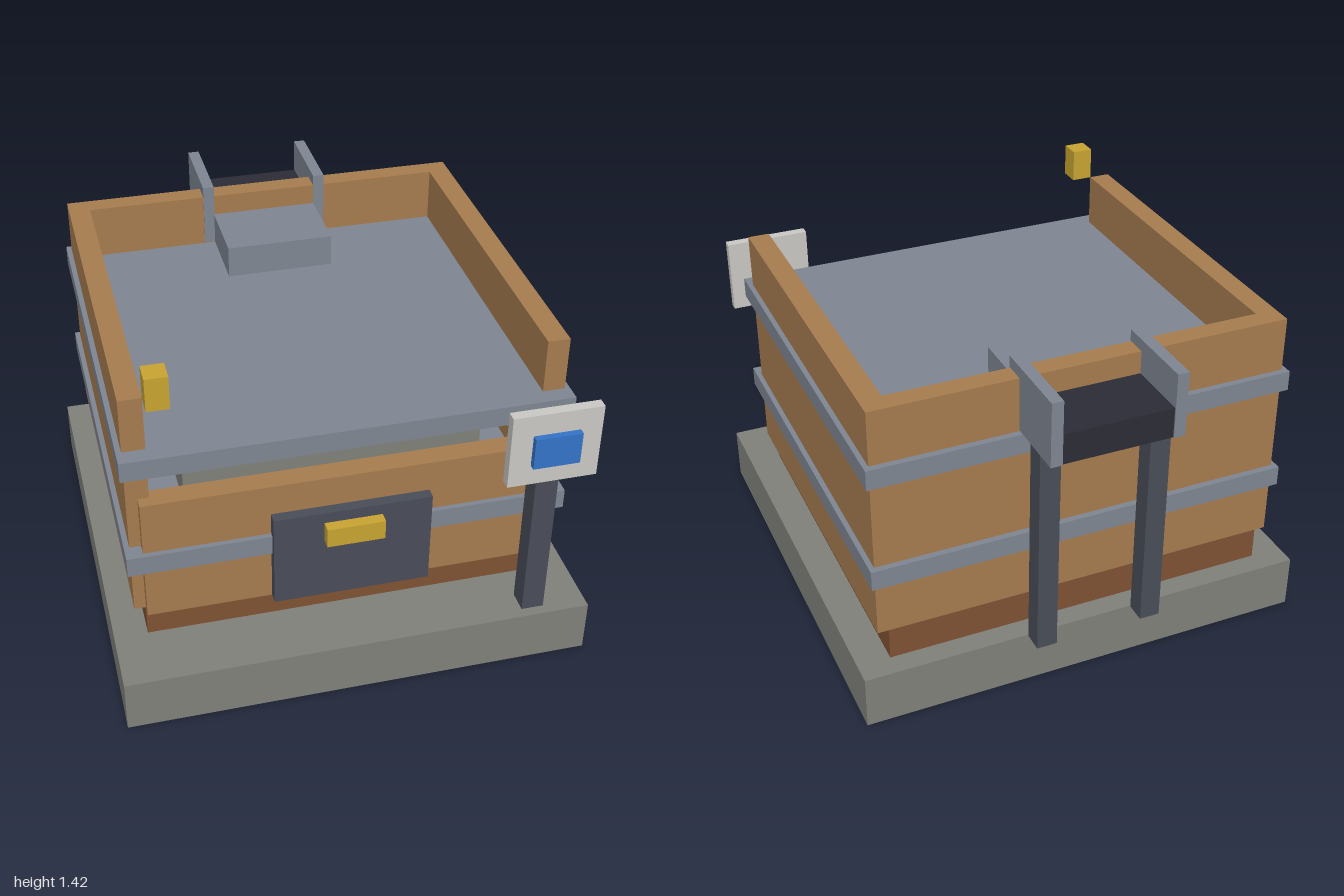
import * as THREE from 'three';

const mat = (name, color) => {
  const m = new THREE.MeshStandardMaterial({ color });
  m.name = name;
  return m;
};

export function createModel() {
  const concrete = mat('concrete grey', 0x80807a);
  const wood = mat('wood', 0xa67c4f);
  const darkWood = mat('dark wood', 0x7f5233);
  const steel = mat('steel', 0x7e8692);
  const iron = mat('dark iron', 0x494d58);
  const black = mat('black', 0x2c2c36);
  const gold = mat('gold', 0xc8a432);
  const white = mat('off white', 0xc9c8c4);
  const blue = mat('blue', 0x3473c8);

  const group = new THREE.Group();
  group.name = 'woodenVat';

  // Box given by its extents along each axis
  const box = (name, material, [x0, x1], [y0, y1], [z0, z1]) => {
    const mesh = new THREE.Mesh(new THREE.BoxGeometry(x1 - x0, y1 - y0, z1 - z0), material);
    mesh.position.set((x0 + x1) / 2, (y0 + y1) / 2, (z0 + z1) / 2);
    mesh.name = name;
    group.add(mesh);
  };

  // Plinth and recessed foot
  box('plinth', concrete, [-0.9, 0.9], [0, 0.215], [-0.825, 0.975]);
  box('foot', darkWood, [-0.772, 0.772], [0.215, 0.345], [-0.74, 0.72]);

  // Walls: full height at back and sides, low at the front
  box('backWall', wood, [-0.815, 0.815], [0.345, 1.29], [-0.74, -0.66]);
  box('frontWall', wood, [-0.772, 0.772], [0.345, 0.86], [0.68, 0.765]);

  // Steel plates that run through the body as bands
  for (const y of [0.565, 0.995])
    box('bandPlate', steel, [-0.835, 0.835], [y, y + 0.08], [-0.765, 0.785]);

  // Stepped filling inside
  box('lowerFilling', concrete, [-0.58, 0.58], [0.345, 0.85], [-0.52, 0.52]);
  box('upperFilling', concrete, [-0.43, 0.43], [0.85, 1.07], [-0.4, 0.37]);

  // Inlet box and its tray behind the back wall
  box('inletBox', steel, [-0.215, 0.215], [1.075, 1.205], [-0.735, -0.36]);
  box('tray', black, [-0.215, 0.215], [1.08, 1.2], [-0.995, -0.74]);

  // Mirrored parts
  for (const s of [-1, 1]) {
    const side = (a, b) => (s > 0 ? [a, b] : [-b, -a]);
    box('sideWall', wood, side(0.73, 0.815), [0.345, 1.29], [-0.66, 0.72]);
    box('trayCheek', steel, side(0.213, 0.258), [1.08, 1.335], [-1, -0.655]);
    box('trayLeg', iron, side(0.175, 0.255), [0.215, 1.08], [-0.91, -0.83]);
  }

  // Front hatch with handle
  box('hatch', iron, [-0.3, 0.3], [0.345, 0.735], [0.765, 0.807]);
  box('handle', gold, [-0.11, 0.11], [0.61, 0.69], [0.807, 0.85]);

  // Lamp at the front corner
  box('lamp', gold, [-0.73, -0.647], [1.29, 1.42], [0.72, 0.805]);

  // Control panel on its post
  box('panelPost', iron, [0.643, 0.73], [0.215, 1.08], [0.85, 0.935]);
  box('controlPanel', white, [0.515, 0.855], [0.865, 1.165], [0.935, 0.975]);
  box('screen', blue, [0.597, 0.773], [0.95, 1.078], [0.975, 1]);

  return group;
}
